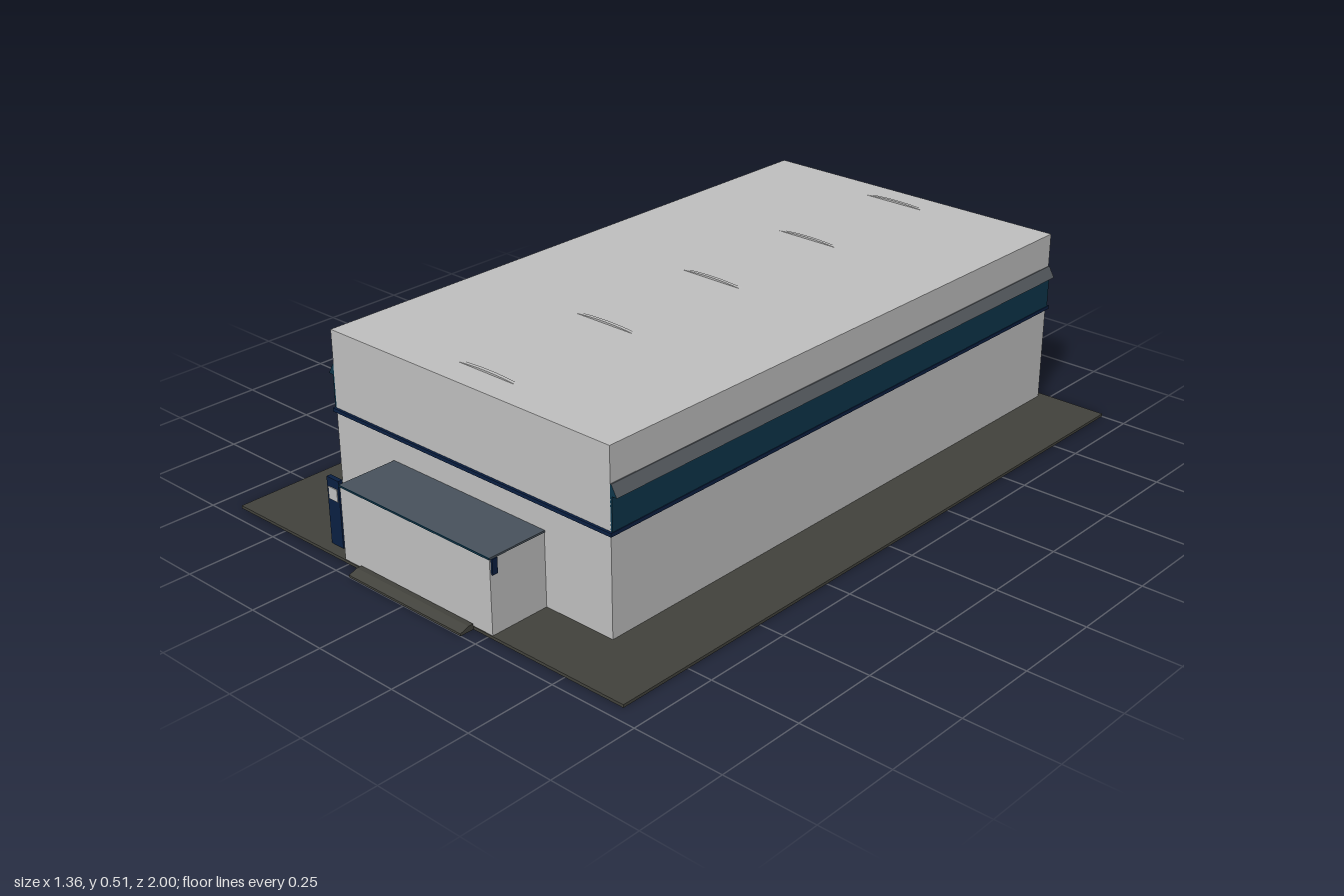
import * as THREE from 'three';

const mat = (name, color) => {
  const m = new THREE.MeshStandardMaterial({ color });
  m.name = name;
  return m;
};

export function createModel() {
  const group = new THREE.Group();
  group.name = 'hall';
  const wall = mat('light grey wall', 0xc0c0c0);
  const paving = mat('dark paving', 0x42423c);
  const glass = mat('teal glazing', 0x0d364b);
  const navy = mat('navy trim', 0x0a1f42);
  const slate = mat('slate canopy', 0x48525c);
  const hood = mat('grey hood', 0x555a5f);

  const add = (name, geometry, material) => {
    const mesh = new THREE.Mesh(geometry, material);
    mesh.name = name;
    group.add(mesh);
    return mesh;
  };
  // Box given by its lower and upper limits on each axis
  const box = (name, material, [x0, x1], [y0, y1], [z0, z1]) => {
    const mesh = add(name, new THREE.BoxGeometry(x1 - x0, y1 - y0, z1 - z0), material);
    mesh.position.set((x0 + x1) / 2, (y0 + y1) / 2, (z0 + z1) / 2);
    return mesh;
  };
  // Outline in x and y, pushed along z
  const prism = (name, material, points, z0, z1) => {
    const shape = new THREE.Shape(points.map(([x, y]) => new THREE.Vector2(x, y)));
    const geometry = new THREE.ExtrudeGeometry(shape, { depth: z1 - z0, bevelEnabled: false });
    return add(name, geometry.translate(0, 0, z0), material);
  };

  const back = -0.98, front = 0.785;

  // Paved base and entrance ramp
  box('pavedBase', paving, [-0.68, 0.68], [0, 0.008], [-1, 0.96]);
  const ramp = prism('entranceRamp', paving,
    [[-0.96, 0], [-1, 0], [-1, 0.006], [-0.975, 0.015], [-0.96, 0.015]], -0.2, 0.2);
  ramp.rotation.y = Math.PI / 2;

  // Main hall with the band running around it
  box('mainHall', wall, [-0.48, 0.48], [0.004, 0.505], [back, front]);
  box('wallBand', navy, [-0.487, 0.487], [0.28, 0.29], [back - 0.007, front + 0.007]);

  // Long side windows, each under a sloping hood
  for (const s of [-1, 1]) {
    const side = s > 0 ? 'left' : 'right';
    const x = [0.479 * s, 0.485 * s].sort((a, b) => a - b);
    box(side + 'WindowStrip', glass, x, [0.285, 0.385], [back, front]);
    prism(side + 'WindowHood', [glass, hood],
      [[0.479 * s, 0.38], [0.5 * s, 0.38], [0.483 * s, 0.41], [0.479 * s, 0.41]], back, front);
  }

  // Shallow arched ribs showing through the roof
  const arch = [[-0.1, 0.503]];
  for (let i = 0; i <= 8; i++) {
    const t = i / 4 - 1;
    arch.push([0.1 * t, 0.505 + 0.005 * (1 - t * t)]);
  }
  arch.push([0.1, 0.503]);
  for (let i = 0; i < 5; i++) {
    const z = 0.7 - 0.4 * i;
    prism('roofRib' + (i + 1), wall, arch, z - 0.005, z + 0.005);
  }

  // Entrance block with canopy and corner brackets
  box('entranceBlock', wall, [-0.264, 0.264], [0.004, 0.209], [front - 0.005, 0.958]);
  box('entranceRoof', slate, [-0.266, 0.266], [0.209, 0.214], [front - 0.005, 0.959]);
  box('entranceRoofEdge', glass, [-0.266, 0.266], [0.209, 0.214], [0.959, 0.961]);
  for (const s of [-1, 1]) {
    const x = [0.263 * s, 0.269 * s].sort((a, b) => a - b);
    box(s > 0 ? 'leftBracket' : 'rightBracket', navy, x, [0.168, 0.209], [0.938, 0.954]);
  }

  // Free-standing sign with a pale panel
  box('signPost', navy, [-0.354, -0.309], [0.006, 0.195], [0.915, 0.928]);
  box('signPanel', wall, [-0.348, -0.315], [0.136, 0.17], [0.927, 0.93]);

  return group;
}
